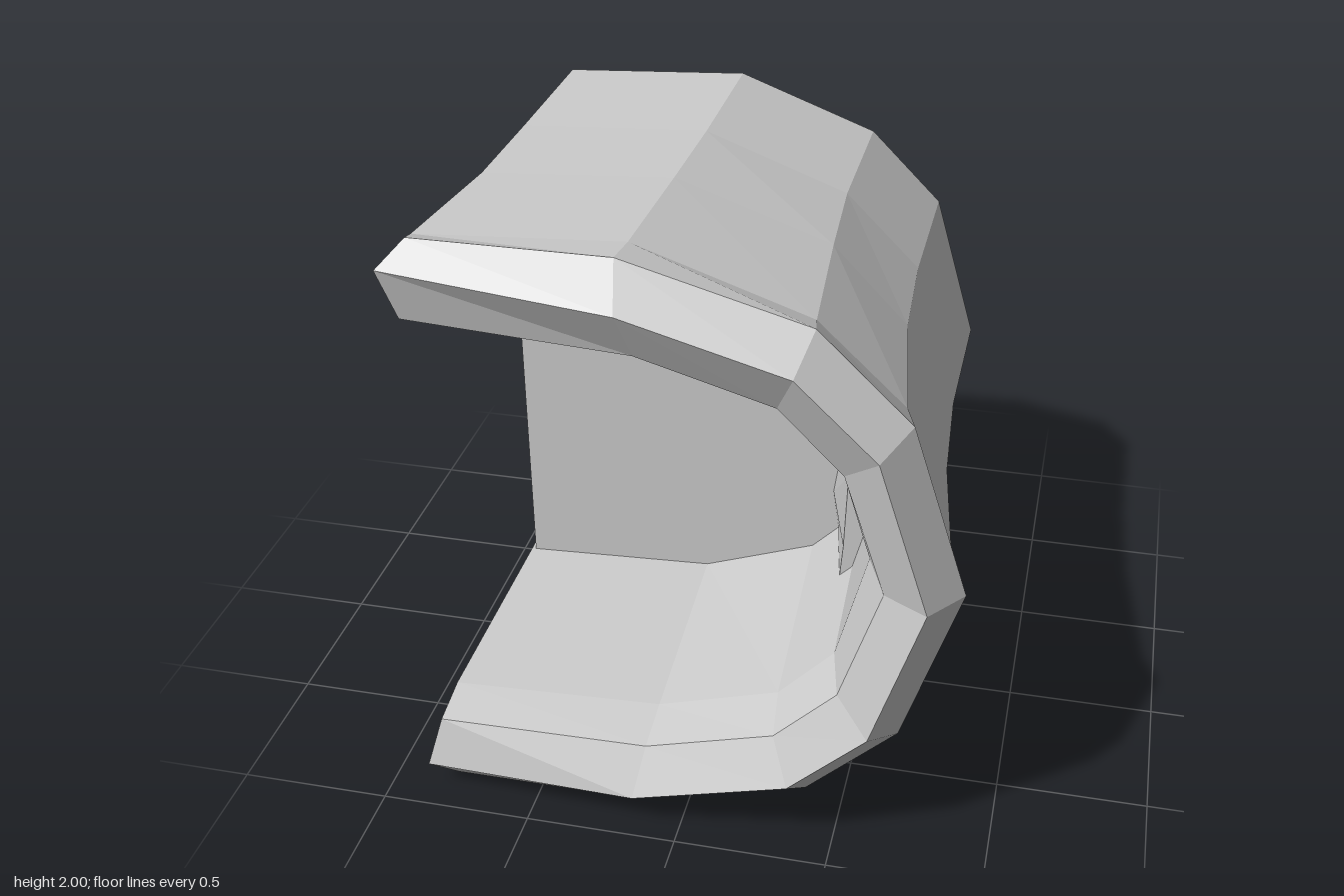
import * as THREE from 'three';

const grey = new THREE.MeshStandardMaterial({ color: 0xcccccc, flatShading: true });

// Half profile (top to middle) mirrored about y = 1 into a full D-shaped row
function row(z, half) {
  const top = half.map(([x, y, pz = z]) => new THREE.Vector3(x, y, pz));
  const bottom = top.slice(0, -1).reverse().map(p => new THREE.Vector3(p.x, 2 - p.y, p.z));
  return [...top, ...bottom];
}

// Collects flat faces into one geometry
class Faces {
  constructor() { this.pts = []; }
  fan(points) {
    for (let i = 1; i < points.length - 1; i++) this.pts.push(points[0], points[i], points[i + 1]);
  }
  loft(rows) {
    for (let i = 0; i < rows.length - 1; i++) {
      for (let j = 0; j < rows[i].length - 1; j++) {
        this.fan([rows[i][j], rows[i + 1][j], rows[i + 1][j + 1], rows[i][j + 1]]);
      }
    }
  }
  mesh(name, material = grey) {
    const geo = new THREE.BufferGeometry().setFromPoints(this.pts);
    geo.computeVertexNormals();
    const mesh = new THREE.Mesh(geo, material);
    mesh.name = name;
    return mesh;
  }
}

// Thick curved shell: solid block at the back, open C with a bevelled rim at the front
function createShell() {
  const backHalf = [[-0.82, 1.905], [-0.18, 1.94], [0.3, 1.76], [0.55, 1.51], [0.7, 1]];
  const innerHalf = [[-0.815, 1.69], [-0.14, 1.66], [0.25, 1.52], [0.43, 1.34], [0.52, 1]];
  const back = row(-0.87, backHalf);
  const outer = [
    row(-0.3, backHalf),
    row(0.14, [[-0.815, 1.915], [-0.18, 1.955], [0.33, 1.775], [0.575, 1.52], [0.73, 1]]),
    row(0.68, [[-0.845, 1.94], [-0.18, 1.98], [0.375, 1.79], [0.65, 1.53], [0.81, 1]]),
    row(0.83, [[-0.8, 2], [-0.18, 2], [0.4, 1.84], [0.69, 1.56], [0.87, 1]]),
    row(0.96, [[-0.875, 1.92, 0.9], [-0.15, 1.88], [0.36, 1.74], [0.61, 1.5], [0.77, 1]]),
  ];
  const rimInner = row(0.88, [[-0.83, 1.75, 0.86], [-0.12, 1.72], [0.3, 1.6], [0.5, 1.4], [0.63, 1]]);
  const inner = [
    row(-0.3, innerHalf),
    row(-0.08, innerHalf),
    row(0.7, [[-0.83, 1.72], [-0.12, 1.69], [0.28, 1.57], [0.46, 1.38], [0.56, 1]]),
    rimInner,
    rimInner,
  ];

  const f = new Faces();
  f.loft([back, ...outer, ...inner.slice(0, 4).reverse()]);
  f.fan(back);
  f.fan([...inner[0]].reverse());
  // Flat left side of the solid block
  f.fan([back[0], back[8], outer[0][8], outer[0][0]]);
  // Cut ends of the upper and lower walls
  for (let k = 0; k < 4; k++) {
    const end = c => [outer[k][c], inner[k][c], inner[k + 1][c], outer[k + 1][c]];
    f.fan(end(0));
    f.fan(end(8).reverse());
  }
  return f.mesh('shell');
}

// Recessed panel closing the cavity
function createPanel() {
  const outline = row(0, [[-0.8, 1.69], [-0.14, 1.66], [0.25, 1.52], [0.43, 1.34], [0.52, 1]]);
  const shape = new THREE.Shape(outline.map(p => new THREE.Vector2(p.x, p.y)));
  const geo = new THREE.ExtrudeGeometry(shape, { depth: 0.24, bevelEnabled: false });
  const panel = new THREE.Mesh(geo, grey);
  panel.position.z = -0.32;
  panel.name = 'cavityPanel';
  return panel;
}

// Raised pad on the inside of the curved wall
function createPad() {
  const ys = [1.41, 1.28, 1, 0.72, 0.59];
  const line = (z, xs) => ys.map((y, i) => new THREE.Vector3(xs[i], y, z));
  const rows = [
    line(0.25, [0.47, 0.5, 0.55, 0.5, 0.46]),
    line(0.25, [0.34, 0.37, 0.42, 0.41, 0.4]),
    line(-0.08, [0.3, 0.29, 0.36, 0.32, 0.34]),
    line(-0.08, [0.47, 0.5, 0.55, 0.5, 0.46]),
  ];
  const f = new Faces();
  f.loft(rows);
  f.fan(rows.map(r => r[0]).reverse());
  f.fan(rows.map(r => r[4]));
  return f.mesh('innerPad');
}

// Tapered pegs on the back face
function createPegs() {
  const pegs = new THREE.Group();
  pegs.name = 'backPegs';
  const geo = new THREE.CylinderGeometry(0.03, 0.045, 0.11, 8).rotateX(-Math.PI / 2);
  for (const [x, y] of [[-0.65, 1.7], [0.175, 1.44], [0.175, 0.565], [-0.65, 0.285]]) {
    const peg = new THREE.Mesh(geo, grey);
    peg.position.set(x, y, -0.91);
    peg.name = 'peg';
    pegs.add(peg);
  }
  return pegs;
}

export function createModel() {
  const model = new THREE.Group();
  model.name = 'curvedHousing';
  model.add(createShell(), createPanel(), createPad(), createPegs());
  return model;
}
